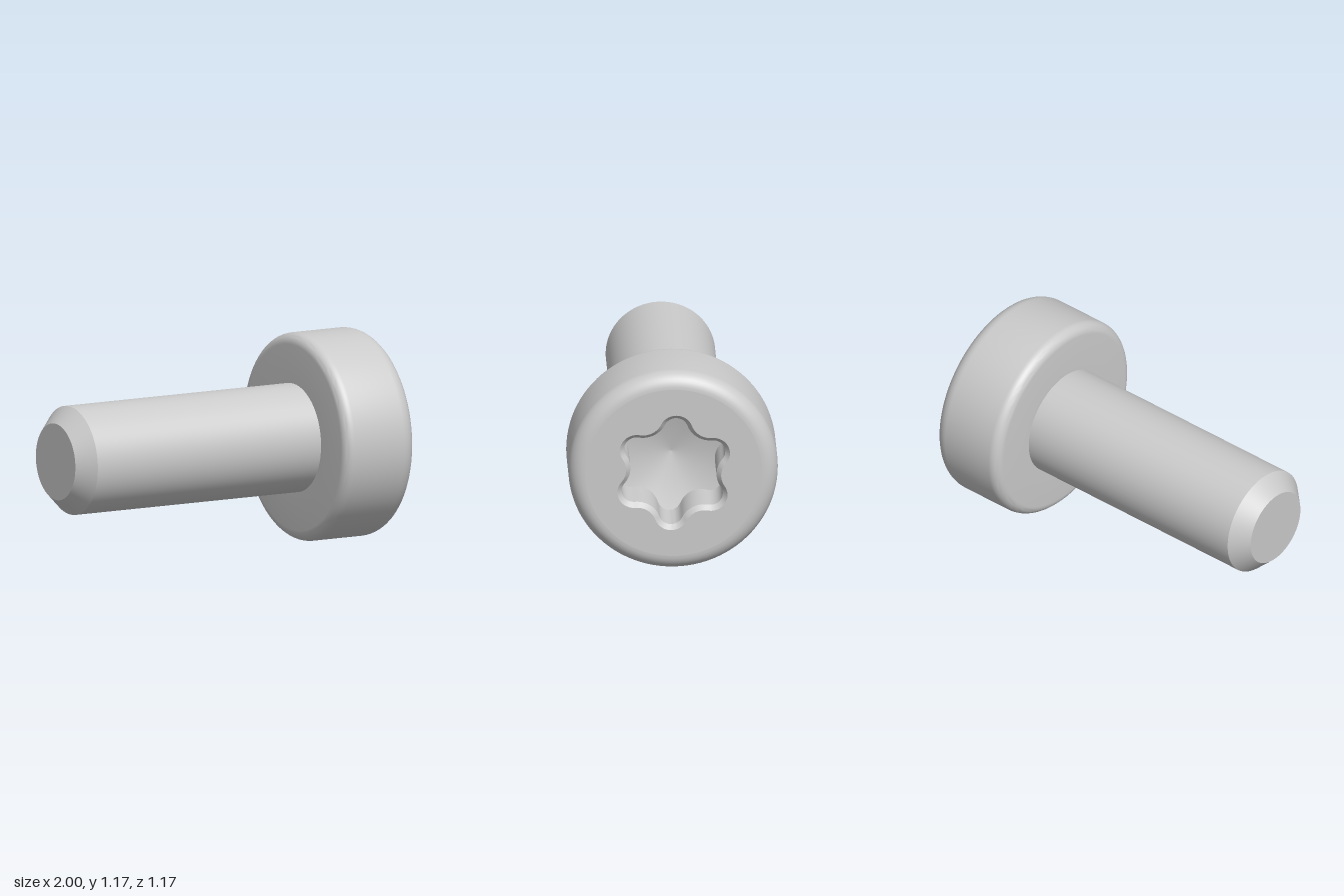
import * as THREE from 'three';
import { toCreasedNormals } from 'three/addons/utils/BufferGeometryUtils.js';

const HEAD_R = 0.583, SHAFT_R = 0.305, FRONT_FILLET = 0.09, BACK_FILLET = 0.06, HEAD_BACK = 0.537;
const V = (r, x) => new THREE.Vector2(r, x);

// Quarter-round points between two angles
function fillet(cr, cx, radius, from, to) {
  return Array.from({ length: 10 }, (_, i) => {
    const a = from + (to - from) * i / 9;
    return V(cr + radius * Math.cos(a), cx + radius * Math.sin(a));
  });
}

// Profile of (radius, x) turned about the x axis
function turned(points) {
  return toCreasedNormals(new THREE.LatheGeometry(points, 96).rotateZ(-Math.PI / 2), 0.5);
}

// Six-lobed outline of tangent arcs, grown outward by `offset`
function lobedOutline(offset) {
  const c = 0.247, d = 0.375, lobeR = 0.068 + offset, step = Math.PI / 6, n = 12;
  const dx = d * Math.cos(step) - c, dy = d * Math.sin(step);
  const psi = Math.atan2(dy, dx), valleyR = Math.hypot(dx, dy) - lobeR, half = psi - step;
  const pts = [];
  const arc = (dist, dir, r, a) => pts.push(V(
    dist * Math.cos(dir) + r * Math.cos(a), dist * Math.sin(dir) + r * Math.sin(a)));
  for (let k = 0; k < 6; k++) {
    const t = Math.PI / 2 - 0.055 + k * Math.PI / 3;
    for (let j = 0; j <= n; j++) arc(c, t, lobeR, t - psi + 2 * psi * j / n);
    for (let j = 1; j < n; j++) arc(d, t + step, valleyR, t + step + Math.PI + half - 2 * half * j / n);
  }
  return pts;
}

// Recess: chamfered rim, straight lobed wall and shallow conical floor
function socketGeometry(outer, inner) {
  const rings = [
    outer.map(p => [p.x, p.y, 1]),
    inner.map(p => [p.x, p.y, 0.97]),
    inner.map(p => [p.x, p.y, 0.64 + 0.33 * p.length()]),
  ];
  const pos = [], n = outer.length;
  for (let i = 0; i < n; i++) {
    const j = (i + 1) % n;
    for (let r = 0; r < 2; r++) {
      const a = rings[r], b = rings[r + 1];
      pos.push(...a[i], ...a[j], ...b[j], ...a[i], ...b[j], ...b[i]);
    }
    pos.push(...rings[2][i], ...rings[2][j], 0, 0, 0.64);
  }
  const g = new THREE.BufferGeometry();
  g.setAttribute('position', new THREE.Float32BufferAttribute(pos, 3));
  return toCreasedNormals(g.rotateY(Math.PI / 2), 0.5);
}

export function createModel() {
  const steel = new THREE.MeshStandardMaterial({ color: 0xcacaca });
  steel.name = 'steel grey';
  const group = new THREE.Group();
  group.name = 'screw';
  const add = (name, geometry) => {
    const mesh = new THREE.Mesh(geometry, steel);
    mesh.name = name;
    mesh.position.y = HEAD_R;
    group.add(mesh);
  };

  // Shaft with chamfered tip
  add('shaft', turned([V(0, -1), V(0.215, -1), V(SHAFT_R, -0.908), V(SHAFT_R, HEAD_BACK)]));

  // Rounded cylindrical head
  add('head', turned([
    V(SHAFT_R, HEAD_BACK),
    ...fillet(HEAD_R - BACK_FILLET, HEAD_BACK + BACK_FILLET, BACK_FILLET, -Math.PI / 2, 0),
    ...fillet(HEAD_R - FRONT_FILLET, 1 - FRONT_FILLET, FRONT_FILLET, 0, Math.PI / 2),
  ]));

  // Flat head face, pierced by the socket
  const outer = lobedOutline(0.025), inner = lobedOutline(0);
  const face = new THREE.Shape().absarc(0, 0, HEAD_R - FRONT_FILLET, 0, Math.PI * 2, false);
  face.holes.push(new THREE.Path(outer));
  add('headFace', new THREE.ShapeGeometry(face, 48).rotateY(Math.PI / 2).translate(1, 0, 0));

  add('socket', socketGeometry(outer, inner));
  return group;
}
